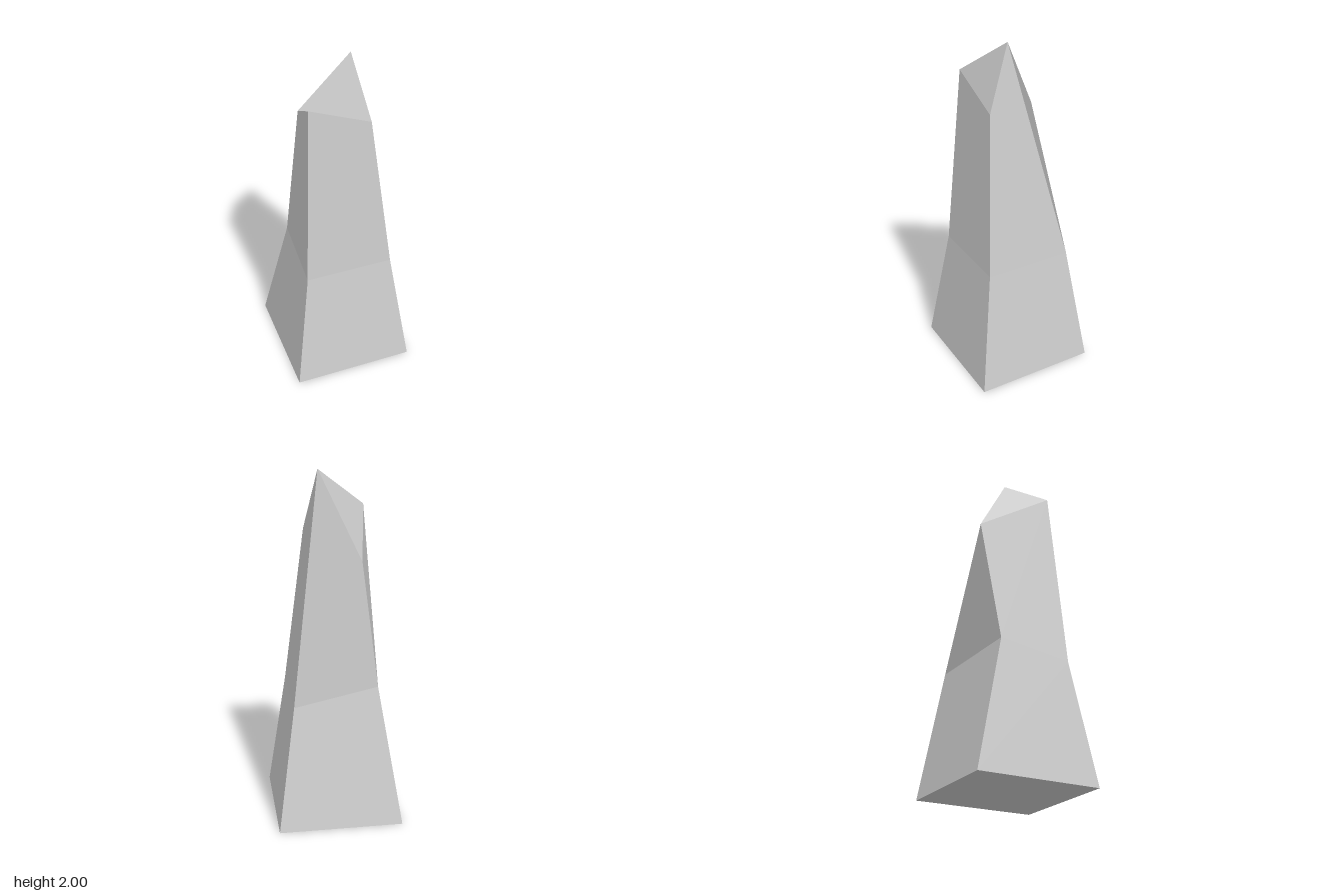
import * as THREE from 'three';

// Cross-sections, each ordered front right, front left, back left, back right
const base = [[-0.357, 0, 0.357], [0.357, 0, 0.357], [0.357, 0, -0.357], [-0.357, 0, -0.357]];
const waist = [[-0.255, 0.72, 0.255], [0.255, 0.72, 0.255], [0.255, 0.72, -0.255], [-0.24, 0.785, -0.162]];
const tip = [[-0.205, 1.785, 0.175], [0.143, 1.65, 0.182], [0.077, 2, 0.038], [-0.127, 1.535, -0.237]];

// Four-sided facets, each split along its first diagonal and shaded with one normal
function facets(quads) {
  const positions = [], normals = [];
  for (const quad of quads) {
    const p = quad.map((c) => new THREE.Vector3(...c));
    const n = p[2].clone().sub(p[0]).cross(p[3].clone().sub(p[1])).normalize();
    for (const i of [0, 1, 2, 0, 2, 3]) {
      positions.push(...p[i].toArray());
      normals.push(...n.toArray());
    }
  }
  const geometry = new THREE.BufferGeometry();
  geometry.setAttribute('position', new THREE.Float32BufferAttribute(positions, 3));
  geometry.setAttribute('normal', new THREE.Float32BufferAttribute(normals, 3));
  return geometry;
}

// Side facets between two sections; sides listed in flipped use the other diagonal
function band(low, high, flipped = []) {
  return low.map((bl, i) => {
    const j = (i + 1) % low.length;
    const quad = [bl, low[j], high[j], high[i]];
    return flipped.includes(i) ? [...quad.slice(1), quad[0]] : quad;
  });
}

export function createModel() {
  const group = new THREE.Group();
  group.name = 'rockSpire';
  const material = new THREE.MeshStandardMaterial({ color: 0xcccccc });

  const add = (name, quads) => {
    const mesh = new THREE.Mesh(facets(quads), material);
    mesh.name = name;
    group.add(mesh);
  };

  // Wide tapering foot, closed underneath
  add('foot', [...band(base, waist, [2]), [...base].reverse()]);
  // Steeper upper shaft
  add('shaft', band(waist, tip));
  // Slanted broken tip
  add('tip', [tip]);

  return group;
}
